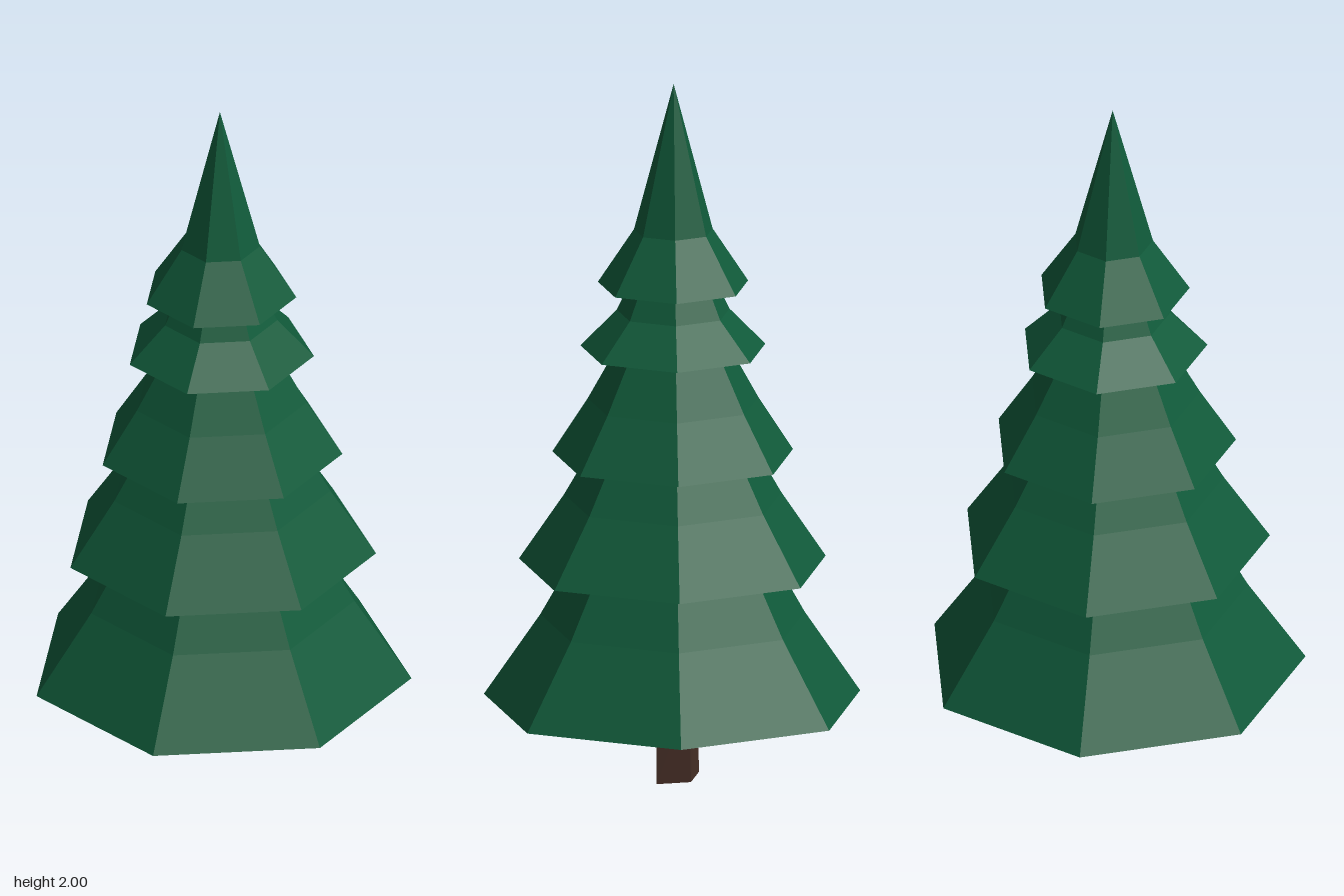
import * as THREE from 'three';

const needles = new THREE.MeshStandardMaterial({ color: 0x105a3a, flatShading: true });
needles.name = 'needleGreen';
const bark = new THREE.MeshStandardMaterial({ color: 0x452e25, flatShading: true });
bark.name = 'barkBrown';

const SIDES = 7;
const CENTRE_Z = 0.026;

// Each tier, bottom to top: [radius, height] at the skirt, the bend and the top
const TIERS = [
  [[0.541, 0.212], [0.38, 0.45], [0.262, 0.66]],
  [[0.441, 0.608], [0.312, 0.80], [0.215, 0.97]],
  [[0.346, 0.922], [0.245, 1.08], [0.14, 1.27]],
  [[0.266, 1.232], [0.162, 1.34], [0.105, 1.46]],
  [[0.216, 1.418], [0.113, 1.575], [0, 2]],
];

// Seven-sided skirt with a closed underside, one corner pointing back
function makeTier(rings) {
  const profile = [[0, rings[0][1]], ...rings];
  const [topRadius, topY] = rings[rings.length - 1];
  if (topRadius > 0) profile.push([0, topY]);
  const points = profile.map(([r, y]) => new THREE.Vector2(r, y));
  const tier = new THREE.Mesh(new THREE.LatheGeometry(points, SIDES, Math.PI), needles);
  tier.position.z = CENTRE_Z;
  return tier;
}

// Slightly crooked four-sided trunk, a box with its corners moved
function makeTrunk() {
  const bottom = { '-+': [-0.072, 0.01, 0.035], '++': [0.025, 0.007, 0.057],
    '+-': [0.051, 0, -0.066], '--': [-0.045, 0.005, -0.066] };
  const top = { '-+': [-0.062, 0.26, 0.035], '++': [0.028, 0.26, 0.056],
    '+-': [0.052, 0.26, -0.06], '--': [-0.04, 0.26, -0.062] };
  const geometry = new THREE.BoxGeometry(1, 1, 1);
  const pos = geometry.attributes.position;
  for (let i = 0; i < pos.count; i++) {
    const key = (pos.getX(i) > 0 ? '+' : '-') + (pos.getZ(i) > 0 ? '+' : '-');
    pos.setXYZ(i, ...(pos.getY(i) > 0 ? top : bottom)[key]);
  }
  geometry.computeVertexNormals();
  return new THREE.Mesh(geometry, bark);
}

export function createModel() {
  const tree = new THREE.Group();
  tree.name = 'pineTree';

  const trunk = makeTrunk();
  trunk.name = 'trunk';
  tree.add(trunk);

  TIERS.forEach((rings, i) => {
    const tier = makeTier(rings);
    tier.name = `branchTier${i + 1}`;
    tree.add(tier);
  });
  return tree;
}
